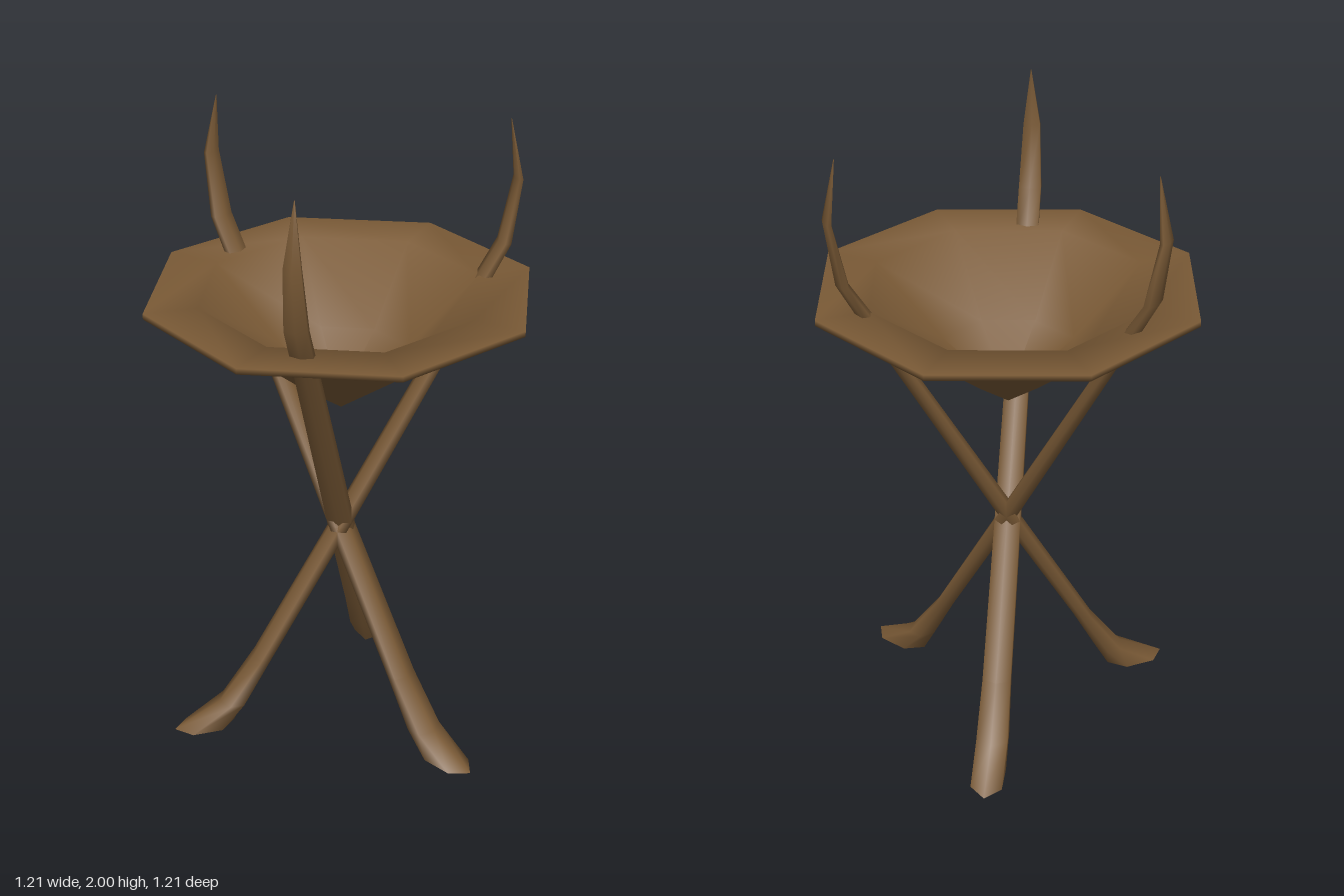
import * as THREE from 'three';

const SIDES = 6;

// Six-sided tapering limb lofted through level rings: [y, xMin, xMax, halfWidth]
function limbGeometry(rings) {
  const pos = [], index = [];
  const addRing = ([y, x0, x1, w]) => {
    for (let j = 0; j < SIDES; j++) {
      const a = (j / SIDES) * Math.PI * 2;
      pos.push((x0 + x1) / 2 + ((x1 - x0) / 2) * Math.cos(a), y, (w * Math.sin(a)) / 0.866);
    }
  };
  rings.forEach(addRing);
  for (let i = 0; i < rings.length - 1; i++) {
    for (let j = 0; j < SIDES; j++) {
      const a = i * SIDES + j, b = i * SIDES + ((j + 1) % SIDES);
      index.push(a, a + SIDES, b, b, a + SIDES, b + SIDES);
    }
  }
  // Sole with its own corners so its edge stays sharp
  const base = rings.length * SIDES;
  addRing(rings[0]);
  for (let j = 1; j < SIDES - 1; j++) index.push(base, base + j, base + j + 1);

  const geometry = new THREE.BufferGeometry();
  geometry.setAttribute('position', new THREE.Float32BufferAttribute(pos, 3));
  geometry.setIndex(index);
  geometry.computeVertexNormals();
  return geometry;
}

export function createModel() {
  const model = new THREE.Group();
  model.name = 'tripodBrazier';
  const bronze = new THREE.MeshStandardMaterial({ color: 0x7a5a36 });
  bronze.name = 'bronze';

  // Eight-sided thin bowl with a wide flat rim
  const profile = [
    [0, 1.115], [0.22, 1.27], [0.44, 1.492], [0.605, 1.492],
    [0.605, 1.51], [0.44, 1.507], [0.22, 1.29], [0, 1.135],
  ].map(([r, y]) => new THREE.Vector2(r, y));
  const bowl = new THREE.Mesh(new THREE.LatheGeometry(profile, 8), bronze);
  bowl.name = 'bowl';
  model.add(bowl);

  // Three legs crossing under the bowl, each ending in a horn above the rim
  const legGeometry = limbGeometry([
    [0, -0.57, -0.37, 0.05],
    [0.085, -0.415, -0.322, 0.05],
    [0.243, -0.297, -0.236, 0.045],
    [0.7, -0.033, 0.033, 0.041],
    [1.48, 0.418, 0.468, 0.035],
    [1.61, 0.499, 0.538, 0.035],
    [1.81, 0.543, 0.567, 0.026],
    [1.998, 0.524, 0.526, 0.001],
  ]);
  for (let i = 0; i < 3; i++) {
    const leg = new THREE.Mesh(legGeometry, bronze);
    leg.name = 'hornedLeg' + (i + 1);
    leg.rotation.y = (i * Math.PI * 2) / 3;
    model.add(leg);
  }
  return model;
}
